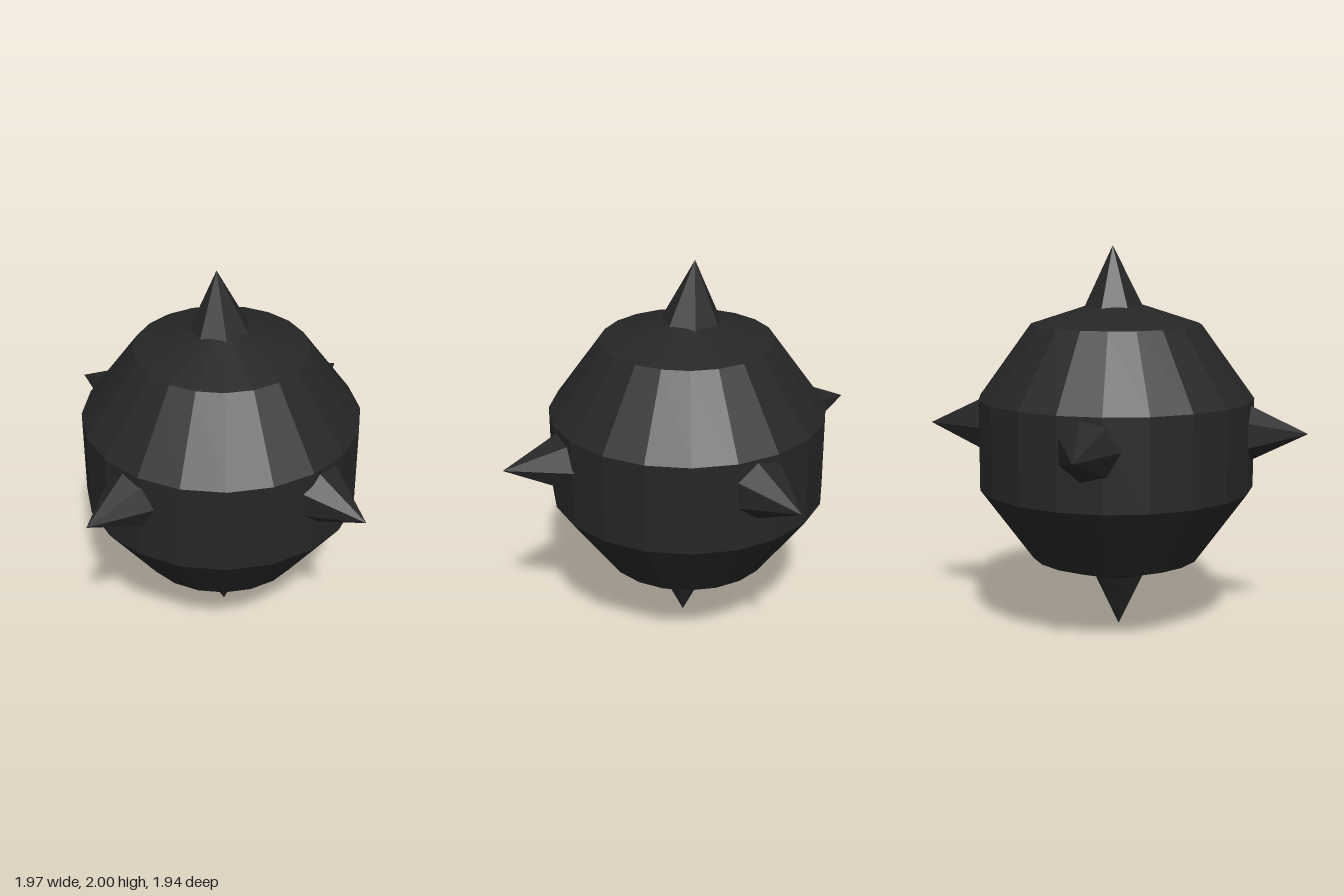
import * as THREE from 'three';

const dark = new THREE.MeshStandardMaterial({ color: 0x262626, flatShading: true });

// Seven-sided spike: from its tip back through the point where it leaves the body,
// with one ridge turned towards "ridge"; the wide end is buried in the body.
function makeSpike(name, tip, exit, ridge) {
  const length = 0.45, radius = 0.225;
  const tipPoint = new THREE.Vector3(...tip);
  const axis = tipPoint.clone().sub(new THREE.Vector3(...exit)).normalize();
  const side = ridge.clone().addScaledVector(axis, -ridge.dot(axis)).normalize();
  const across = new THREE.Vector3().crossVectors(axis, side).negate();

  // The cone's first ridge lies on its local +z
  const geometry = new THREE.ConeGeometry(radius, length, 7, 1);
  geometry.translate(0, -length / 2, 0);
  const mesh = new THREE.Mesh(geometry, dark);
  across.crossVectors(axis, side);
  mesh.quaternion.setFromRotationMatrix(new THREE.Matrix4().makeBasis(across, axis, side));
  mesh.position.copy(tipPoint);
  mesh.name = name;
  return mesh;
}

export function createModel() {
  const model = new THREE.Group();
  model.name = 'spikedBall';

  // Faceted ball: five bands, twenty sides
  const body = new THREE.Mesh(new THREE.SphereGeometry(0.745, 20, 5), dark);
  body.position.set(-0.007, 1, 0.006);
  body.name = 'body';
  model.add(body);

  // Ring of four spikes, each with a ridge on the right as seen from outside
  const up = new THREE.Vector3(0, 1, 0);
  const ring = [
    ['frontSpike', [0.2, 1.065, 0.968], [0.138, 1.065, 0.675]],
    ['leftSpike', [0.98, 1.065, -0.08], [0.68, 1.065, -0.07]],
    ['backSpike', [-0.215, 1.065, -0.972], [-0.145, 1.065, -0.675]],
    ['rightSpike', [-0.985, 1.065, 0.212], [-0.685, 1.065, 0.15]],
  ];
  for (const [name, tip, exit] of ring) {
    const outward = new THREE.Vector3(...tip).sub(new THREE.Vector3(...exit));
    model.add(makeSpike(name, tip, exit, new THREE.Vector3().crossVectors(up, outward)));
  }

  // Top and bottom spikes
  model.add(makeSpike('topSpike', [-0.045, 2, 0.005], [-0.026, 1.7, 0], new THREE.Vector3(-1, 0, 0)));
  model.add(makeSpike('bottomSpike', [0.02, 0.005, 0.01], [0.014, 0.3, 0.017], new THREE.Vector3(1, 0, 0)));

  return model;
}
